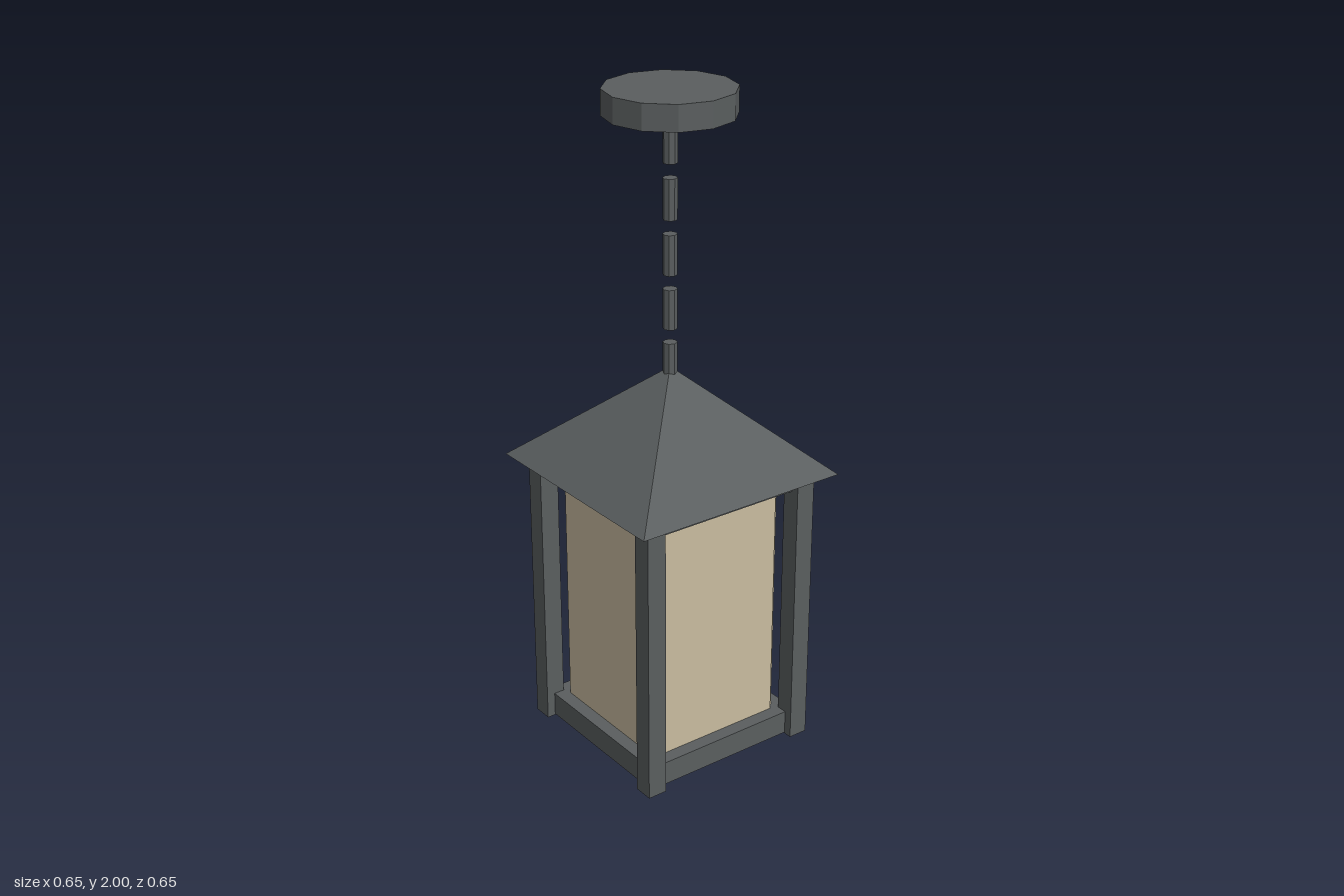
import * as THREE from 'three';

const metal = new THREE.MeshStandardMaterial({ color: 0x5a5e5f, flatShading: true });
metal.name = 'dark grey metal';
const glass = new THREE.MeshStandardMaterial({ color: 0xc9bca0, flatShading: true });
glass.name = 'cream glass';

export function createModel() {
  const lantern = new THREE.Group();
  lantern.name = 'hangingLantern';

  const add = (name, geometry, material, x, y, z) => {
    const mesh = new THREE.Mesh(geometry, material);
    mesh.name = name;
    mesh.position.set(x, y, z);
    lantern.add(mesh);
    return mesh;
  };

  // Ceiling plate
  add('ceilingPlate', new THREE.CylinderGeometry(0.177, 0.177, 0.07, 12), metal, 0, 1.965, 0);

  // Chain of five short links, the lowest sunk into the roof
  const link = new THREE.CylinderGeometry(0.02, 0.02, 0.112, 8);
  for (let i = 0; i < 5; i++) add('chainLink', link, metal, 0, 1.859 - i * 0.151, 0);

  // Pyramid roof
  const roof = new THREE.ConeGeometry(0.326 * Math.SQRT2, 0.29, 4);
  roof.rotateY(Math.PI / 4);
  add('roof', roof, metal, 0, 1.095, 0);

  // Top and bottom slabs
  add('topSlab', new THREE.BoxGeometry(0.51, 0.052, 0.51), metal, 0, 0.927, 0);
  add('bottomSlab', new THREE.BoxGeometry(0.51, 0.07, 0.51), metal, 0, 0.158, 0);

  // Corner posts
  const post = new THREE.BoxGeometry(0.057, 0.832, 0.057);
  for (const x of [-1, 1]) {
    for (const z of [-1, 1]) add('cornerPost', post, metal, x * 0.2515, 0.536, z * 0.2515);
  }

  // Glass panes, with narrow gaps at the corners
  const pane = new THREE.BoxGeometry(0.4, 0.72, 0.014);
  for (let i = 0; i < 4; i++) {
    const a = (i * Math.PI) / 2;
    const mesh = add('glassPane', pane, glass, Math.sin(a) * 0.208, 0.547, Math.cos(a) * 0.208);
    mesh.rotation.y = a;
  }

  // Faceted ball under the base
  add('finial', new THREE.IcosahedronGeometry(0.062, 1), metal, 0, 0.062, 0);

  return lantern;
}
